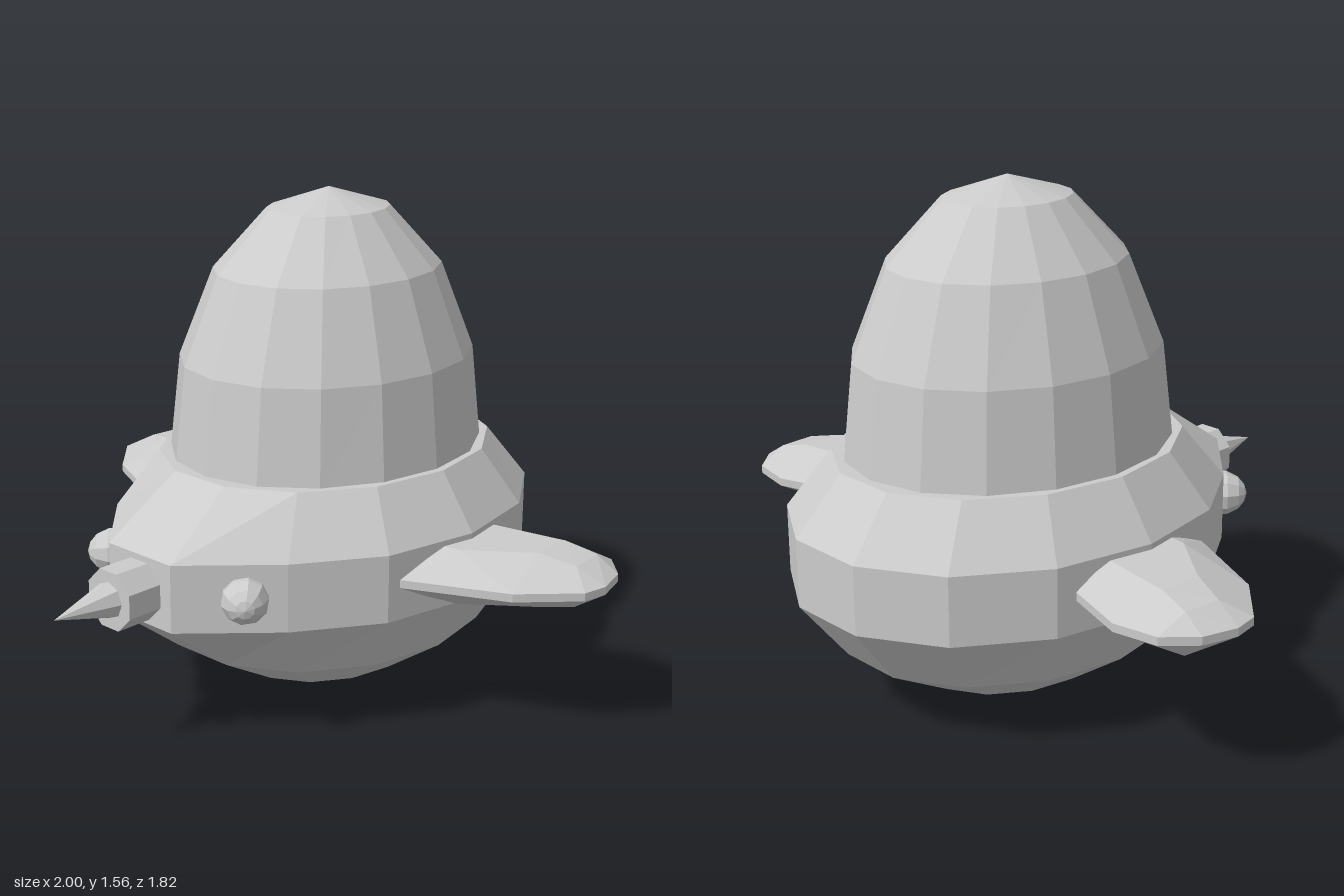
import * as THREE from 'three';
import { ConvexGeometry } from 'three/addons/geometries/ConvexGeometry.js';

const CZ = -0.22; // centre line of hull and dome
const mat = new THREE.MeshStandardMaterial({ color: 0xcccccc, flatShading: true });

function add(parent, name, geometry) {
  const mesh = new THREE.Mesh(geometry, mat);
  mesh.name = name;
  parent.add(mesh);
  return mesh;
}

// Stack of elliptical rings [y, radiusX, radiusZ, frontPull], bottom to top
function ringStack(rings, sides) {
  const pos = [], index = [];
  for (const [y, rx, rz, pull = 0] of rings) {
    for (let i = 0; i < sides; i++) {
      const a = (i / sides) * Math.PI * 2;
      const front = Math.sin(a) > 0.9 ? pull : 0;
      pos.push(rx * Math.cos(a), y, CZ + rz * Math.sin(a) + front);
    }
  }
  for (let r = 0; r < rings.length - 1; r++) {
    for (let i = 0; i < sides; i++) {
      const j = (i + 1) % sides;
      const a = r * sides + i, b = r * sides + j, c = a + sides, d = b + sides;
      if (rings[r][1] > 0) index.push(a, c, b);
      if (rings[r + 1][1] > 0) index.push(b, c, d);
      else index.push(a, c, b);
    }
  }
  const g = new THREE.BufferGeometry();
  g.setAttribute('position', new THREE.Float32BufferAttribute(pos, 3));
  g.setIndex(index);
  const flat = g.toNonIndexed();
  flat.computeVertexNormals();
  return flat;
}

// Swept fin: plan outline at the rim, shrunken outline above and below
function finGeometry() {
  const outline = [
    [0.45, -0.44], [0.57, -0.48], [0.75, -0.54], [0.89, -0.515], [0.97, -0.43],
    [1.0, -0.32], [0.985, -0.24], [0.84, -0.09], [0.54, 0.05], [0.45, 0.08],
  ];
  const points = [];
  for (const [x, z] of outline) {
    points.push(new THREE.Vector3(x, 0.505, z), new THREE.Vector3(x, 0.48, z));
  }
  for (const [x, z] of [[0.45, -0.34], [0.45, -0.1], [0.62, -0.12], [0.8, -0.26], [0.8, -0.4]]) {
    points.push(new THREE.Vector3(x, 0.573, z), new THREE.Vector3(x, 0.402, z));
  }
  for (const [x, z] of [[0.91, -0.3], [0.9, -0.42]]) {
    points.push(new THREE.Vector3(x, 0.55, z), new THREE.Vector3(x, 0.422, z));
  }
  return new ConvexGeometry(points);
}

export function createModel() {
  const model = new THREE.Group();

  // Hull with a belt pulled forward into a flat nose panel
  add(model, 'hull', ringStack([
    [0, 0, 0], [0.05, 0.272, 0.325], [0.19, 0.475, 0.57],
    [0.38, 0.59, 0.72, 0.1], [0.59, 0.59, 0.72, 0.1],
    [0.76, 0.473, 0.572], [0.76, 0, 0],
  ], 14));

  // Tall faceted dome
  add(model, 'dome', ringStack([
    [0.75, 0.45, 0.533], [1.05, 0.42, 0.498], [1.32, 0.322, 0.385],
    [1.5, 0.172, 0.208], [1.56, 0, 0],
  ], 16));

  // Nose collar and spike
  const nose = new THREE.Group();
  nose.name = 'nose';
  nose.position.y = 0.483;
  model.add(nose);
  const collar = add(nose, 'noseCollar', new THREE.CylinderGeometry(0.095, 0.095, 0.16, 8));
  collar.rotation.set(Math.PI / 2, Math.PI / 8, 0);
  collar.position.z = 0.62;
  const spike = add(nose, 'noseSpike', new THREE.ConeGeometry(0.056, 0.205, 8));
  spike.rotation.set(Math.PI / 2, 0, 0);
  spike.position.z = 0.8;

  // Mirrored fins and rounded studs
  const studProfile = [[0.07, 0], [0.07, 0.07], [0.052, 0.107], [0.028, 0.127], [0, 0.135]]
    .map(([x, y]) => new THREE.Vector2(x, y));
  for (const side of [1, -1]) {
    const label = side > 0 ? 'left' : 'right';
    const fin = add(model, label + 'Fin', finGeometry());
    fin.scale.x = side;

    const stud = add(model, label + 'Stud', new THREE.LatheGeometry(studProfile, 10));
    stud.position.set(side * 0.245, 0.483, 0.395);
    stud.quaternion.setFromUnitVectors(
      new THREE.Vector3(0, 1, 0), new THREE.Vector3(side, 0, 1).normalize());
  }
  return model;
}
